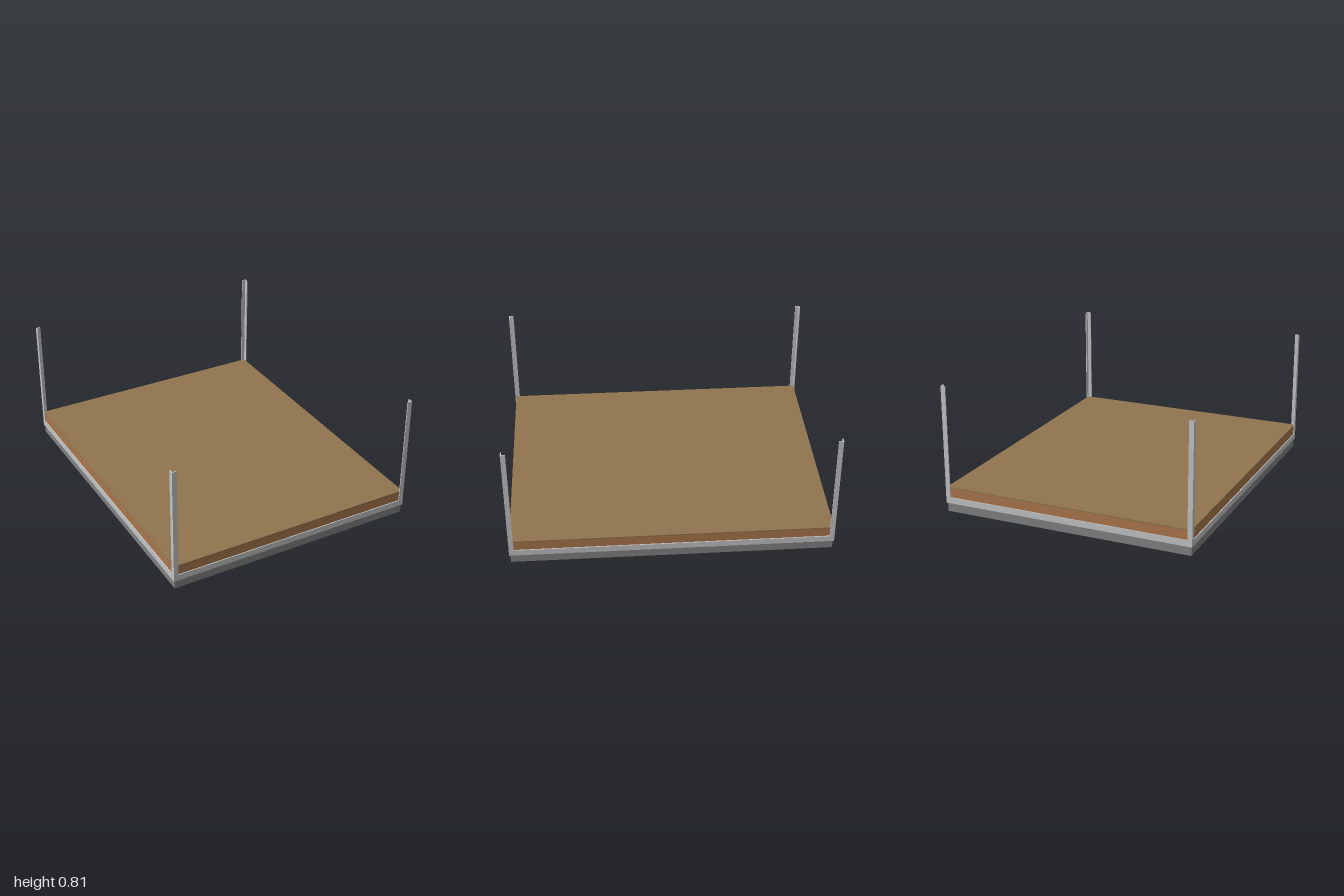
import * as THREE from 'three';

const mat = (name, color) => {
  const m = new THREE.MeshStandardMaterial({ color });
  m.name = name;
  return m;
};

export function createModel() {
  const model = new THREE.Group();
  model.name = 'raisedDeck';

  const darkSteel = mat('dark steel', 0x828282);
  const lightSteel = mat('light steel', 0xc3c4c6);
  const timber = mat('timber', 0xab764b);
  const board = mat('deck board', 0x90744e);

  // Box given by its limits on each axis
  const box = (parent, name, material, [x0, x1], [y0, y1], [z0, z1]) => {
    const mesh = new THREE.Mesh(new THREE.BoxGeometry(x1 - x0, y1 - y0, z1 - z0), material);
    mesh.position.set((x0 + x1) / 2, (y0 + y1) / 2, (z0 + z1) / 2);
    mesh.name = name;
    parent.add(mesh);
  };

  // Rectangular ring of four bars: outer half sizes hx, hz and bar width w
  const ring = (name, material, hx, hz, w, y) => {
    const group = new THREE.Group();
    group.name = name;
    for (const s of [-1, 1]) {
      const side = (h) => (s > 0 ? [h - w, h] : [-h, w - h]);
      box(group, name + 'Cross', material, [-hx, hx], y, side(hz));
      box(group, name + 'Side', material, side(hx), y, [w - hz, hz - w]);
    }
    model.add(group);
  };

  const X = 0.81, Z = 1, T = 0.006;   // outer half sizes and steel thickness
  const LEG = 0.03;                   // width of the angle iron
  const BASE = 0.056, RIM = 0.095, TOP = 0.81;
  const DECK0 = 0.152, DECK1 = 0.16;

  // Base frame and the angle-iron tray standing on it
  ring('baseFrame', darkSteel, X - 0.007, Z - 0.007, 0.06, [0, BASE]);
  ring('trayFlange', lightSteel, X, Z, LEG, [BASE, BASE + T]);
  ring('trayLip', lightSteel, X, Z, T, [BASE + T, RIM]);

  // Timber rim and joists running across
  const wx = X - T, wz = Z - T, J = 0.014, wood = [BASE + T, DECK0];
  ring('timberRim', timber, wx, wz, J, wood);
  const gaps = 18;
  for (let i = 1; i < gaps; i++) {
    const z = (wz - J / 2) * (2 * i / gaps - 1);
    box(model, 'joist', timber, [J - wx, wx - J], wood, [z - J / 2, z + J / 2]);
  }

  // Deck board
  box(model, 'deckBoard', board, [-wx, wx], [DECK0, DECK1], [-wz, wz]);

  // Angle-section corner posts
  const angle = new THREE.Shape([[0, 0], [LEG, 0], [LEG, T], [T, T], [T, LEG], [0, LEG]]
    .map(([x, y]) => new THREE.Vector2(x, y)));
  const postGeometry = new THREE.ExtrudeGeometry(angle, { depth: TOP - RIM, bevelEnabled: false });
  postGeometry.rotateX(-Math.PI / 2);  // legs now point to +x and -z
  [[-X, Z], [X, Z], [X, -Z], [-X, -Z]].forEach(([x, z], i) => {
    const post = new THREE.Mesh(postGeometry, lightSteel);
    post.name = 'cornerPost';
    post.position.set(x, RIM, z);
    post.rotation.y = i * Math.PI / 2;
    model.add(post);
  });

  return model;
}
